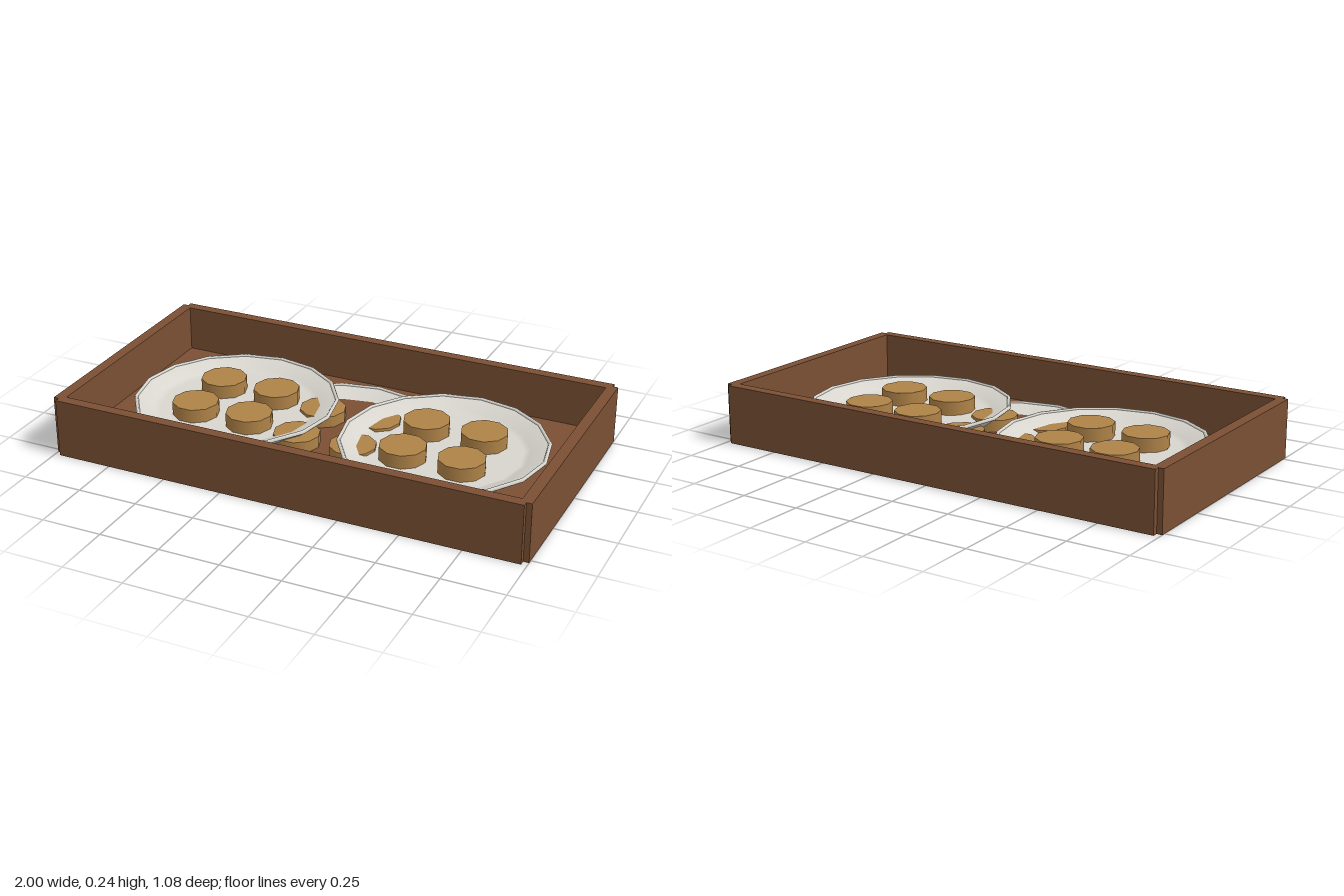
import * as THREE from 'three';

const wood = new THREE.MeshStandardMaterial({ color: 0x7b5034 });
wood.name = 'wood';
const china = new THREE.MeshStandardMaterial({ color: 0xd8d6ce });
china.name = 'china';
const biscuit = new THREE.MeshStandardMaterial({ color: 0xb08348 });
biscuit.name = 'biscuit';

function add(parent, name, geometry, material, x = 0, y = 0, z = 0) {
  const mesh = new THREE.Mesh(geometry, material);
  mesh.name = name;
  mesh.position.set(x, y, z);
  parent.add(mesh);
  return mesh;
}

// Open tray: a floor with four walls that leave a small notch at each corner
function createTray() {
  const tray = new THREE.Group();
  tray.name = 'tray';
  const height = 0.244, wall = 0.045;
  add(tray, 'floor', new THREE.BoxGeometry(1.95, 0.048, 1.03), wood, 0, 0.025, 0);
  for (const s of [-1, 1]) {
    add(tray, s > 0 ? 'frontWall' : 'backWall',
      new THREE.BoxGeometry(1.955, height, wall), wood, 0, height / 2, s * (0.54 - wall / 2));
    add(tray, s > 0 ? 'leftWall' : 'rightWall',
      new THREE.BoxGeometry(wall, height, 1.036), wood, s * (1 - wall / 2), height / 2, 0);
  }
  return tray;
}

// Shallow 16-sided dish profile, from the underside out to the rim and back in
const dishGeometry = new THREE.LatheGeometry([
  [0, 0], [0.31, 0], [0.36, 0.03], [0.418, 0.072], [0.418, 0.083],
  [0.34, 0.05], [0.315, 0.04], [0, 0.04],
].map(([r, y]) => new THREE.Vector2(r, y)), 16);
const rimGeometry = new THREE.TorusGeometry(0.415, 0.008, 6, 16).rotateX(Math.PI / 2);
const biscuitGeometry = new THREE.CylinderGeometry(0.096, 0.096, 0.057, 10).rotateY(Math.PI / 10);

// Plate carrying four round biscuits
function createPlate(name, x, y) {
  const plate = new THREE.Group();
  plate.name = name;
  plate.position.set(x, y, 0);
  add(plate, 'dish', dishGeometry, china);
  add(plate, 'rim', rimGeometry, china, 0, 0.078, 0);
  for (const sx of [-1, 1]) {
    for (const sz of [-1, 1]) {
      add(plate, 'biscuit', biscuitGeometry, biscuit, sx * 0.123, 0.0685, sz * 0.122);
    }
  }
  return plate;
}

export function createModel() {
  const model = new THREE.Group();
  model.name = 'biscuitTray';
  model.add(createTray());
  // The outer plates overlap the lower middle one
  model.add(createPlate('rightPlate', -0.46, 0.045));
  model.add(createPlate('middlePlate', 0, 0));
  model.add(createPlate('leftPlate', 0.46, 0.045));
  return model;
}
